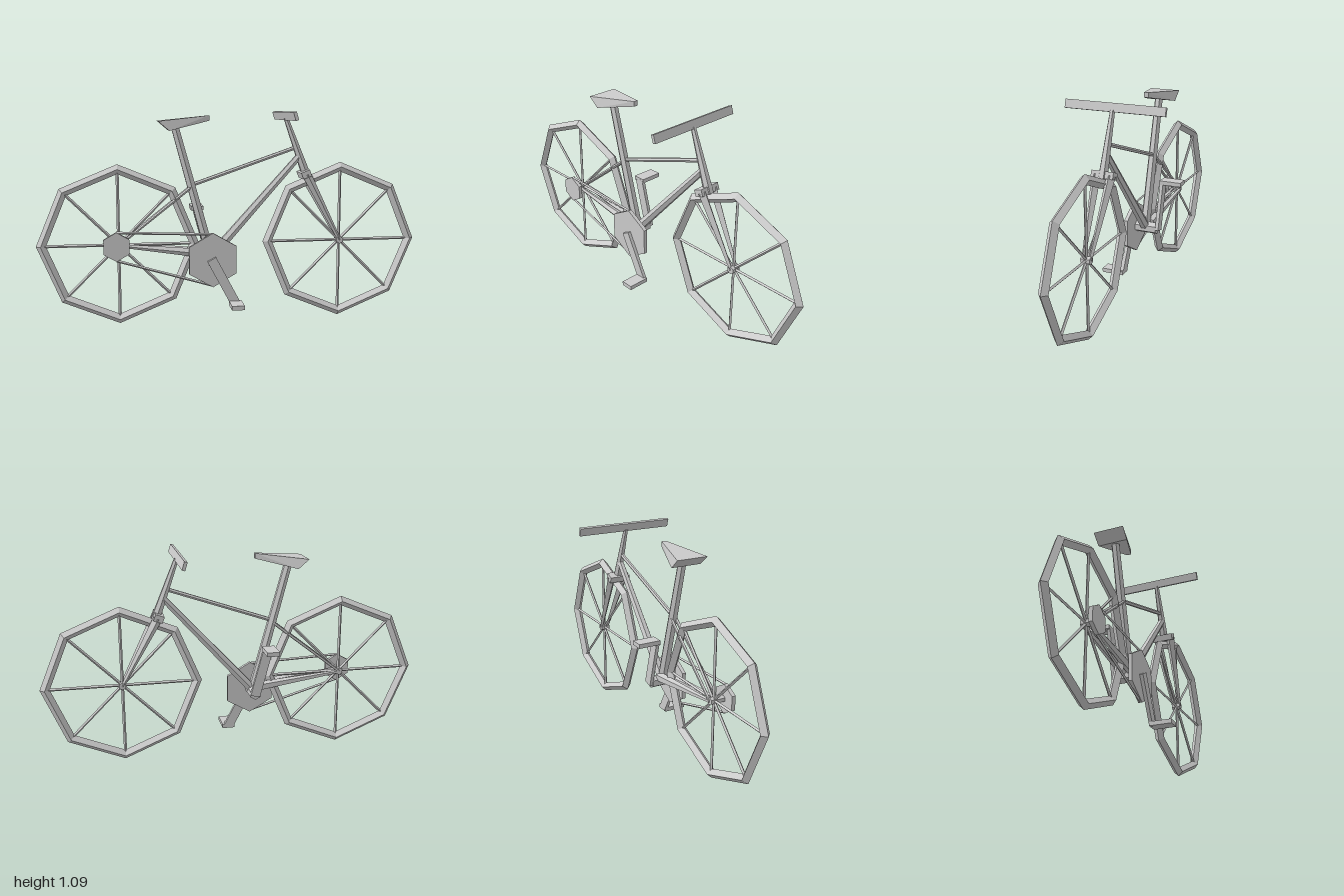
import * as THREE from 'three';
import { ConvexGeometry } from 'three/addons/geometries/ConvexGeometry.js';

const V = (x, y, z) => new THREE.Vector3(x, y, z);
const MID = 0.009; // z of the frame's centre plane

export function createModel() {
  const model = new THREE.Group();
  model.name = 'bicycle';
  const mat = new THREE.MeshStandardMaterial({ color: 0xcccccc, flatShading: true });

  const add = (name, geo, parent = model) => {
    const mesh = new THREE.Mesh(geo, mat);
    mesh.name = name;
    parent.add(mesh);
    return mesh;
  };

  // Straight tube from a to b, radius ra tapering to rb
  const bar = (name, a, b, ra, rb = ra, sides = 6, parent = model) => {
    const mesh = add(name, new THREE.CylinderGeometry(rb, ra, a.distanceTo(b), sides), parent);
    mesh.position.copy(a).lerp(b, 0.5);
    mesh.quaternion.setFromUnitVectors(V(0, 1, 0), b.clone().sub(a).normalize());
    return mesh;
  };

  const box = (name, w, h, d, x, y, z, tilt = 0) => {
    const mesh = add(name, new THREE.BoxGeometry(w, h, d), model);
    mesh.position.set(x, y, z);
    mesh.rotation.z = tilt;
    return mesh;
  };

  // Wheels: eight-sided rim of diamond section, eight spokes and a hub
  const wheel = (name, x) => {
    const g = new THREE.Group();
    g.name = name;
    g.position.set(x, 0.42, MID);
    add('rim', new THREE.TorusGeometry(0.39, 0.025, 4, 8), g);
    for (let i = 0; i < 8; i++) {
      const a = (i * Math.PI) / 4;
      bar('spoke', V(0, 0, 0), V(Math.cos(a) * 0.372, Math.sin(a) * 0.372, 0), 0.008, 0.008, 4, g);
    }
    bar('hub', V(0, 0, -0.024), V(0, 0, 0.024), 0.02, 0.02, 6, g);
    model.add(g);
  };
  wheel('rearWheel', -0.587);
  wheel('frontWheel', 0.58);

  // Main frame
  const crankCentre = V(-0.11, 0.345, MID);
  bar('seatTube', crankCentre, V(-0.29, 1.015, MID), 0.027, 0.022);
  bar('topTube', V(-0.205, 0.725, MID), V(0.335, 0.912, MID), 0.011);
  bar('downTube', crankCentre, V(0.352, 0.862, MID), 0.026, 0.018);
  bar('steeringTube', V(0.4, 0.76, MID), V(0.285, 1.065, MID), 0.025, 0.013);
  bar('bottomBracket', V(-0.11, 0.342, -0.06), V(-0.11, 0.342, 0.06), 0.032);

  // Paired stays and fork legs
  for (const s of [-1, 1]) {
    const rear = V(-0.587, 0.42, MID + s * 0.022);
    bar('seatStay', rear, V(-0.205, 0.72, MID + s * 0.012), 0.008, 0.009, 5);
    bar('chainStay', rear, V(-0.12, 0.365, MID + s * 0.022), 0.009, 0.026, 5);
    bar('forkLeg', V(0.58, 0.42, MID + s * 0.018), V(0.39, 0.775, MID + s * 0.038), 0.009, 0.024, 4);
  }
  box('forkCrown', 0.048, 0.035, 0.115, 0.386, 0.775, MID, 0.37);

  // Handlebar
  box('handlebar', 0.016, 0.043, 0.52, 0.281, 1.077, 0, 0.3);

  // Saddle: wedge, wide at the rear
  const corners = [];
  for (const s of [-1, 1]) {
    corners.push(
      V(-0.38, 1.052, MID + s * 0.082), V(-0.325, 1.004, MID + s * 0.08),
      V(-0.115, 1.08, MID + s * 0.012), V(-0.115, 1.053, MID + s * 0.012));
  }
  add('saddle', new ConvexGeometry(corners));

  // Sprockets, rear axle and chain
  const chainZ = 0.068;
  const sprocket = (name, x, y, r) => {
    const mesh = add(name, new THREE.CylinderGeometry(r, r, 0.02, 6));
    mesh.rotation.x = Math.PI / 2;
    mesh.position.set(x, y, chainZ);
  };
  sprocket('rearSprocket', -0.598, 0.42, 0.075);
  sprocket('chainring', -0.106, 0.338, 0.142);
  bar('rearAxle', V(-0.592, 0.42, MID), V(-0.592, 0.42, chainZ), 0.018);
  bar('chainTop', V(-0.598, 0.492, chainZ), V(-0.106, 0.473, chainZ), 0.007, 0.007, 4);
  bar('chainBottom', V(-0.598, 0.348, chainZ), V(-0.106, 0.203, chainZ), 0.007, 0.007, 4);

  // Crank arms with their pedals, on opposite sides
  const crank = (side, sx, sy, ex, ey, z, pedalZ) => {
    const dx = ex - sx, dy = ey - sy;
    box(side + 'Crank', 0.05, Math.hypot(dx, dy), 0.018, (sx + ex) / 2, (sy + ey) / 2, z,
      Math.atan2(-dx, dy));
    box(side + 'Pedal', 0.066, 0.022, 0.118, ex, ey, pedalZ);
  };
  crank('right', -0.115, 0.345, 0.008, 0.112, 0.087, 0.139);
  crank('left', -0.105, 0.335, -0.174, 0.593, -0.068, -0.119);

  return model;
}
